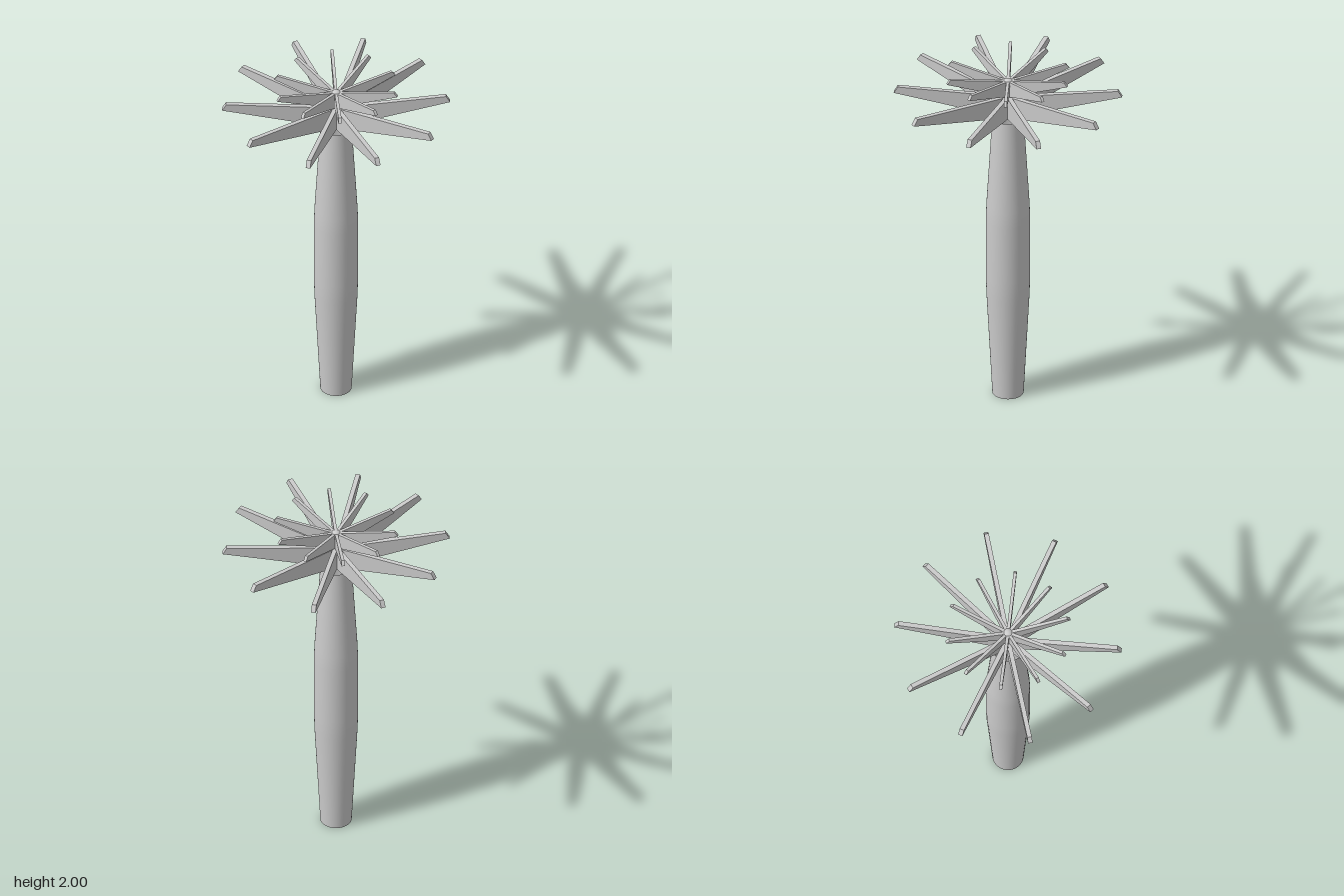
import * as THREE from 'three';

const material = new THREE.MeshStandardMaterial({ color: 0xcccccc, side: THREE.DoubleSide });

// Tapered fin: side outline (radius, height) given a thickness
function finGeometry(outline, thickness) {
  const shape = new THREE.Shape(outline.map(([r, y]) => new THREE.Vector2(r, y)));
  const geometry = new THREE.ExtrudeGeometry(shape, { depth: thickness, bevelEnabled: false });
  return geometry.translate(0, 0, -thickness / 2);
}

// Ring of fins fanned around the vertical axis
function finRing(name, geometry, count, startDegrees) {
  const ring = new THREE.Group();
  ring.name = name;
  for (let i = 0; i < count; i++) {
    const fin = new THREE.Mesh(geometry, material);
    fin.name = name + 'Fin';
    fin.rotation.y = THREE.MathUtils.degToRad(startDegrees) + (i * Math.PI * 2) / count;
    ring.add(fin);
  }
  return ring;
}

export function createModel() {
  const model = new THREE.Group();
  model.name = 'finnedColumn';

  // Hollow barrel-shaped column, open at both ends
  const profile = [
    [0.085, 0], [0.117, 0.62], [0.12, 0.74], [0.12, 1.08], [0.117, 1.18], [0.085, 1.72],
  ].map(([r, y]) => new THREE.Vector2(r, y));
  const column = new THREE.Mesh(new THREE.LatheGeometry(profile, 48), material);
  column.name = 'column';
  model.add(column);

  // Wide lower ring and small upper ring, staggered by half a step
  const lower = finGeometry([[0.02, 1.72], [0.619, 1.86], [0.597, 1.897], [0.02, 1.85]], 0.025);
  model.add(finRing('lowerCrown', lower, 10, 9));
  const upper = finGeometry([[0.01, 1.85], [0.344, 1.975], [0.325, 2.0], [0.01, 1.945]], 0.017);
  model.add(finRing('upperCrown', upper, 10, 27));

  // Small ball at the hub
  const hub = new THREE.Mesh(new THREE.SphereGeometry(0.032, 24, 16), material);
  hub.name = 'hubBall';
  hub.position.y = 1.925;
  model.add(hub);

  return model;
}
